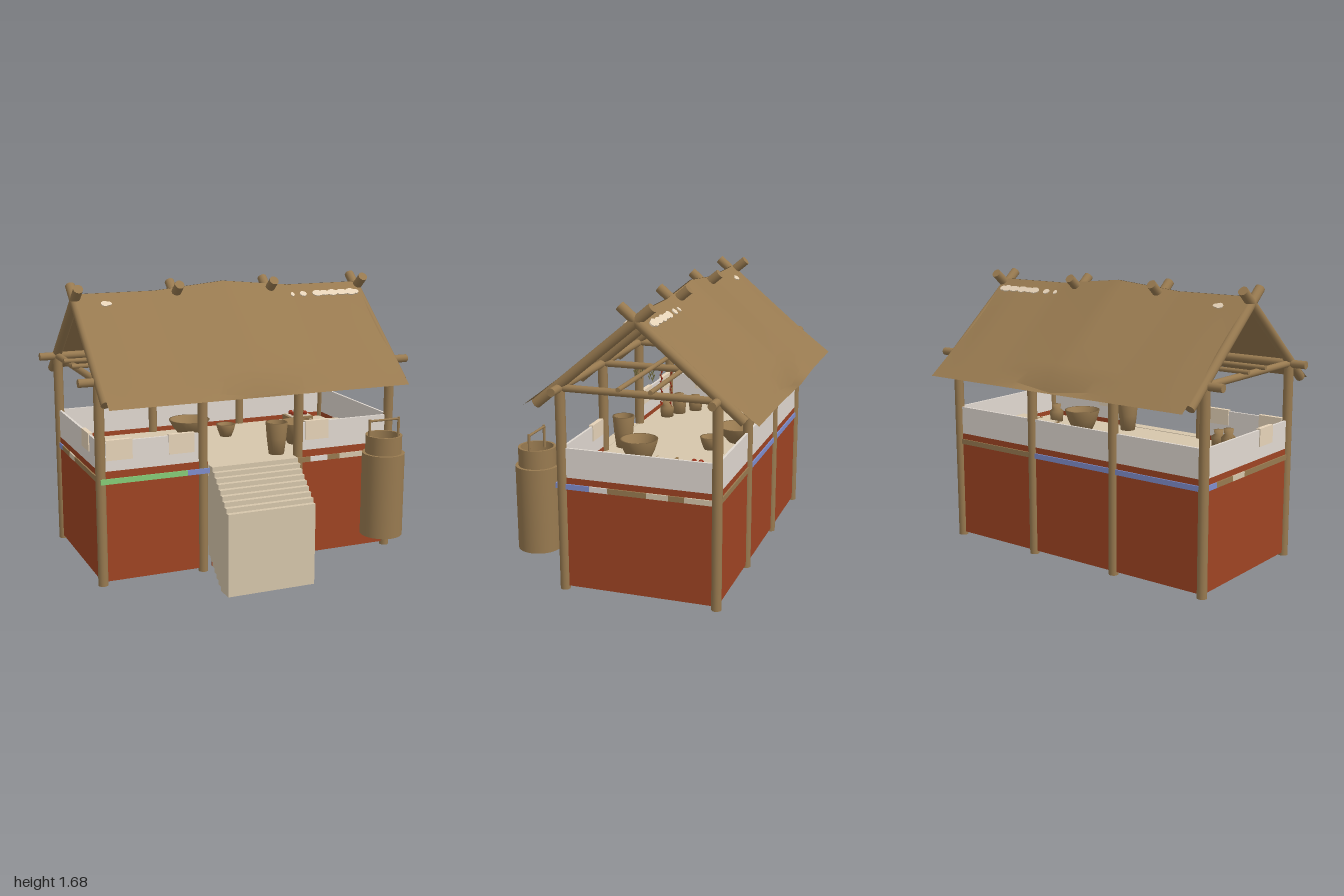
import * as THREE from 'three';
import { toCreasedNormals } from 'three/addons/utils/BufferGeometryUtils.js';

export function createModel() {
  const root = new THREE.Group();
  const colour = (name, color) => {
    const m = new THREE.MeshStandardMaterial({ color });
    m.name = name;
    return m;
  };
  const wood = colour('wood', 0x987a50);
  const red = colour('redClay', 0x9f4423);
  const grey = colour('plaster', 0xe0d8d0);
  const beige = colour('paleWood', 0xd6c6ab);
  const linen = colour('linen', 0xe6d3b8);
  const green = colour('greenTrim', 0x86cc78);
  const blue = colour('blueTrim', 0x7f8dcc);
  const chili = colour('chiliRed', 0x9a321c);
  const herb = colour('driedHerb', 0x76703f);
  const sheet = colour('woodSheet', 0x987a50);
  sheet.side = THREE.DoubleSide;

  const add = (name, geo, mat, x = 0, y = 0, z = 0) => {
    const m = new THREE.Mesh(geo, mat);
    m.name = name;
    m.position.set(x, y, z);
    root.add(m);
    return m;
  };
  // box from its min and max on each axis
  const box = (name, mat, x0, x1, y0, y1, z0, z1) =>
    add(name, new THREE.BoxGeometry(x1 - x0, y1 - y0, z1 - z0), mat, (x0 + x1) / 2, (y0 + y1) / 2, (z0 + z1) / 2);
  // round pole between two points
  const pole = (name, a, b, r, sides = 14) => {
    const p = new THREE.Vector3(...a), q = new THREE.Vector3(...b);
    const d = q.clone().sub(p);
    const m = add(name, new THREE.CylinderGeometry(r, r, d.length(), sides), wood);
    m.position.copy(p).add(q).multiplyScalar(0.5);
    m.quaternion.setFromUnitVectors(new THREE.Vector3(0, 1, 0), d.normalize());
  };
  const lathe = (name, pts, x, y, z) =>
    add(name, new THREE.LatheGeometry(pts.map(p => new THREE.Vector2(...p)), 24), wood, x, y, z);

  const ZF = 0.385, ZB = -0.485, ZM = -0.05, X = 0.89;
  const postX = [-0.89, -0.297, 0.295, 0.89];

  // posts, cross beams and crossed rafters
  for (const x of postX) {
    for (const z of [ZF, ZB]) pole('post', [x, 0.06, z], [x, 1.21, z], 0.028);
    pole('crossBeam', [x, 1.205, ZB], [x, 1.205, ZF], 0.02);
    for (const s of [1, -1])
      pole('rafter', [x, 1.107, ZM + s * 0.575], [x, 1.66, ZM - s * 0.088], 0.028);
  }
  // long beams, loft poles and ridge pole
  for (const z of [ZF, ZB]) pole('longBeam', [-1, 1.205, z], [1, 1.205, z], 0.023);
  for (const z of [0.037, -0.14]) pole('loftPole', [-0.94, 1.232, z], [0.94, 1.232, z], 0.013);
  pole('ridgePole', [-0.89, 1.555, ZM], [0.89, 1.555, ZM], 0.02);

  // roof sheets: raised ridge centre, turned-up eave centre, side edges settled onto the rafters
  const bump = x => Math.max(0, 1 - Math.abs(x) / 0.42);
  const ROWS = 12;
  for (const s of [1, -1]) {
    const g = new THREE.PlaneGeometry(1.79, 1, 34, ROWS);
    const p = g.attributes.position;
    for (let i = 0; i < p.count; i++) {
      const x = p.getX(i), t = 0.5 - p.getY(i), b = bump(x);
      const row = Math.round(t * ROWS);
      const edge = THREE.MathUtils.smoothstep(Math.abs(x), 0.72, 0.895) * Math.sin(t * Math.PI);
      const curl = row === ROWS ? 0.004 : row === ROWS - 1 ? -0.052 : 0;
      const out = 0.004 + t * (0.646 + 0.017 * b);
      p.setXYZ(i, s * x, 1.622 - 0.528 * t - 0.012 * edge + b * (0.04 * (1 - t) + curl), ZM + s * out);
    }
    add(s > 0 ? 'frontRoof' : 'backRoof', toCreasedNormals(g, 0.5), sheet);
  }
  // pale worn patches near the ridge: centre x, half width, half height
  const patches = [[-0.735, 0.024, 0.02], [-0.715, 0.02, 0.014], [0.425, 0.012, 0.016], [0.495, 0.022, 0.02],
    [0.59, 0.034, 0.024], [0.635, 0.04, 0.02], [0.69, 0.035, 0.025], [0.755, 0.045, 0.022], [0.815, 0.036, 0.026], [0.85, 0.02, 0.018]];
  for (const s of [1, -1]) for (const [x, w, h] of patches) {
    const g = new THREE.CylinderGeometry(1, 1, 0.008, 9);
    g.scale(w, 1, h);
    const m = add('wornPatch', g, linen, x, 1.569, ZM + s * 0.071);
    m.rotation.x = s * 0.686;
  }

  // walls: red below, plaster above, with a doorway in front
  const T = 0.007;
  const wall = (name, x0, x1, z0, z1) => {
    box(name + 'Lower', red, x0, x1, 0.08, 0.71, z0, z1);
    box(name + 'Upper', grey, x0, x1, 0.71, 0.875, z0, z1);
  };
  wall('backWall', -X, X, ZB - T, ZB + T);
  wall('leftWall', X - T, X + T, ZB, ZF);
  wall('rightWall', -X - T, -X + T, ZB, ZF);
  wall('frontWall', 0.27, X, ZF - T, ZF + T);
  wall('frontWall', -X, -0.27, ZF - T, ZF + T);
  box('doorSill', red, -0.245, 0.245, 0.08, 0.62, ZF - T, ZF + T);

  // floor slab
  box('floor', beige, -0.88, 0.88, 0.62, 0.682, -0.475, 0.39);
  box('floorUnderside', grey, -0.88, 0.88, 0.6, 0.62, -0.475, 0.375);

  // coloured trim: [material, from, to]
  const trimFront = [[green, -0.9, -0.4], [blue, -0.4, -0.27], [wood, 0.27, 0.36], [grey, 0.36, 0.47],
    [wood, 0.47, 0.55], [beige, 0.55, 0.7], [wood, 0.7, 0.85], [blue, 0.85, 0.9]];
  for (const [m, a, b] of trimFront) box('frontTrim', m, a, b, 0.645, 0.675, 0.414, 0.422);
  const trimBack = [[blue, -0.89, 0.3], [wood, 0.3, 0.89]];
  for (const [m, a, b] of trimBack) box('backTrim', m, a, b, 0.645, 0.675, ZB - T - 0.008, ZB - T);
  const trimLeft = [[blue, 0.225, 0.385], [grey, 0.12, 0.225], [wood, -0.1, 0.12], [beige, -0.22, -0.1],
    [wood, -0.31, -0.22], [beige, -0.47, -0.31]];
  for (const [m, a, b] of trimLeft) box('leftTrim', m, X + T, X + T + 0.008, 0.645, 0.675, a, b);
  const trimRight = [[blue, -0.47, -0.38], [wood, -0.38, -0.22], [beige, -0.22, -0.1], [wood, -0.1, 0.385]];
  for (const [m, a, b] of trimRight) box('rightTrim', m, -X - T - 0.008, -X - T, 0.645, 0.675, a, b);

  // cloths draped over the wall tops
  for (const [a, b] of [[-0.86, -0.71], [-0.5, -0.35], [0.335, 0.485]]) {
    box('cloth', linen, a, b, 0.77, 0.883, ZF + T, ZF + T + 0.006);
    box('clothTop', linen, a, b, 0.876, 0.883, ZF - T, ZF + T);
    box('clothInside', linen, a, b, 0.79, 0.883, ZF - T - 0.006, ZF - T);
  }
  for (const s of [-1, 1]) box('sideCloth', linen, -X + s * (T + 0.003) - 0.003, -X + s * (T + 0.003) + 0.003, 0.78, 0.883, 0.06, 0.2);
  box('sideClothTop', linen, -X - T, -X + T, 0.876, 0.883, 0.06, 0.2);

  // stair block, stepped above and below
  const st = new THREE.Shape();
  st.moveTo(0.382, 0.685);
  for (let i = 0; i < 9; i++) {
    const z = 0.45 + i * 0.02875, y = 0.685 - i * 0.026;
    st.lineTo(z, y);
    if (i < 8) st.lineTo(z, y - 0.026);
  }
  st.lineTo(0.68, 0);
  st.lineTo(0.57, 0);
  for (let i = 0; i < 6; i++) {
    st.lineTo(0.57 - i * 0.03, (i + 1) * 0.025);
    st.lineTo(0.57 - (i + 1) * 0.03, (i + 1) * 0.025);
  }
  st.lineTo(0.382, 0.15);
  const stairGeo = new THREE.ExtrudeGeometry(st, { depth: 0.53, bevelEnabled: false });
  stairGeo.rotateY(-Math.PI / 2);
  add('stairs', stairGeo, beige, 0.265, 0, 0);

  // hollow water barrel, open at both ends, with handle
  const bx = 0.735, bz = 0.605;
  const barrelPart = (name, r, y0, y1) => {
    add(name, new THREE.CylinderGeometry(r, r, y1 - y0, 28, 1, true), sheet, bx, (y0 + y1) / 2, bz);
    const rim = add(name + 'Rim', new THREE.RingGeometry(0.092, r, 28), sheet, bx, y1, bz);
    rim.rotation.x = -Math.PI / 2;
  };
  barrelPart('barrelBody', 0.123, 0.222, 0.71);
  barrelPart('barrelNeck', 0.105, 0.71, 0.815);
  for (const s of [-1, 1]) pole('barrelHandle', [bx + s * 0.095, 0.78, bz], [bx + s * 0.095, 0.91, bz], 0.008, 8);
  pole('barrelHandleBar', [bx - 0.1, 0.9, bz], [bx + 0.1, 0.9, bz], 0.007, 8);

  // open bowls and buckets on the floor: base radius, rim radius, height
  const bowl = (name, x, z, rb, rt, h) => lathe(name,
    [[0, 0], [rb, 0], [rb * 0.4 + rt * 0.6, h * 0.5], [rt, h], [rt - 0.012, h], [rb * 0.5 + rt * 0.5 - 0.012, h * 0.5], [rb * 0.8, 0.015], [0, 0.015]], x, 0.682, z);
  bowl('largeBowl', -0.112, -0.32, 0.06, 0.127, 0.098);
  bowl('smallBowl', 0.085, -0.2, 0.035, 0.06, 0.075);
  bowl('bucket', 0.197, 0.3, 0.045, 0.065, 0.188);
  bowl('sideBowl', 0.42, 0.12, 0.06, 0.11, 0.13);

  // jars
  for (const [x, z, h] of [[-0.6, 0.22, 0.13], [-0.5, 0.27, 0.1], [-0.7, 0.14, 0.1], [0.72, 0.22, 0.11]])
    lathe('jar', [[0, 0], [0.04, 0], [0.045, h * 0.6], [0.025, h * 0.75], [0.03, h], [0, h]], x, 0.682, z);

  // crates, one of them filled with red produce
  for (const [x, z] of [[0.62, -0.28], [0.74, -0.05], [0.57, -0.08]]) {
    box('crate', wood, x - 0.08, x + 0.08, 0.682, 0.75, z - 0.06, z + 0.06);
    box('crateLid', beige, x - 0.07, x + 0.07, 0.75, 0.756, z - 0.05, z + 0.05);
  }
  for (let i = 0; i < 6; i++)
    add('produce', new THREE.SphereGeometry(0.016, 10, 8), chili, 0.58 + (i % 3) * 0.04, 0.765, -0.3 + Math.floor(i / 3) * 0.04);

  // hanging herb bunches: small leaves staggered down a stem
  for (const [z, len] of [[0.183, 0.09], [0.172, 0.07], [0.145, 0.06], [0.097, 0.06], [0.077, 0.08]])
    for (let i = 0; i < 4; i++) {
      const leaf = add('herbBunch', new THREE.ConeGeometry(0.005, len * 0.45, 5), herb, 0.295, 1.178 - i * len * 0.22, z + (i % 2 ? 0.003 : -0.003));
      leaf.rotation.x = Math.PI + (i % 2 ? 0.3 : -0.3);
    }
  // chili strings
  for (const z of [0.028, -0.03])
    for (let i = 0; i < 10; i++) {
      const c = add('chiliString', new THREE.ConeGeometry(0.006, 0.028, 5), chili, 0.295, 1.17 - i * 0.0195, z);
      c.rotation.x = Math.PI + (i % 2 ? 0.35 : -0.35);
    }
  return root;
}
